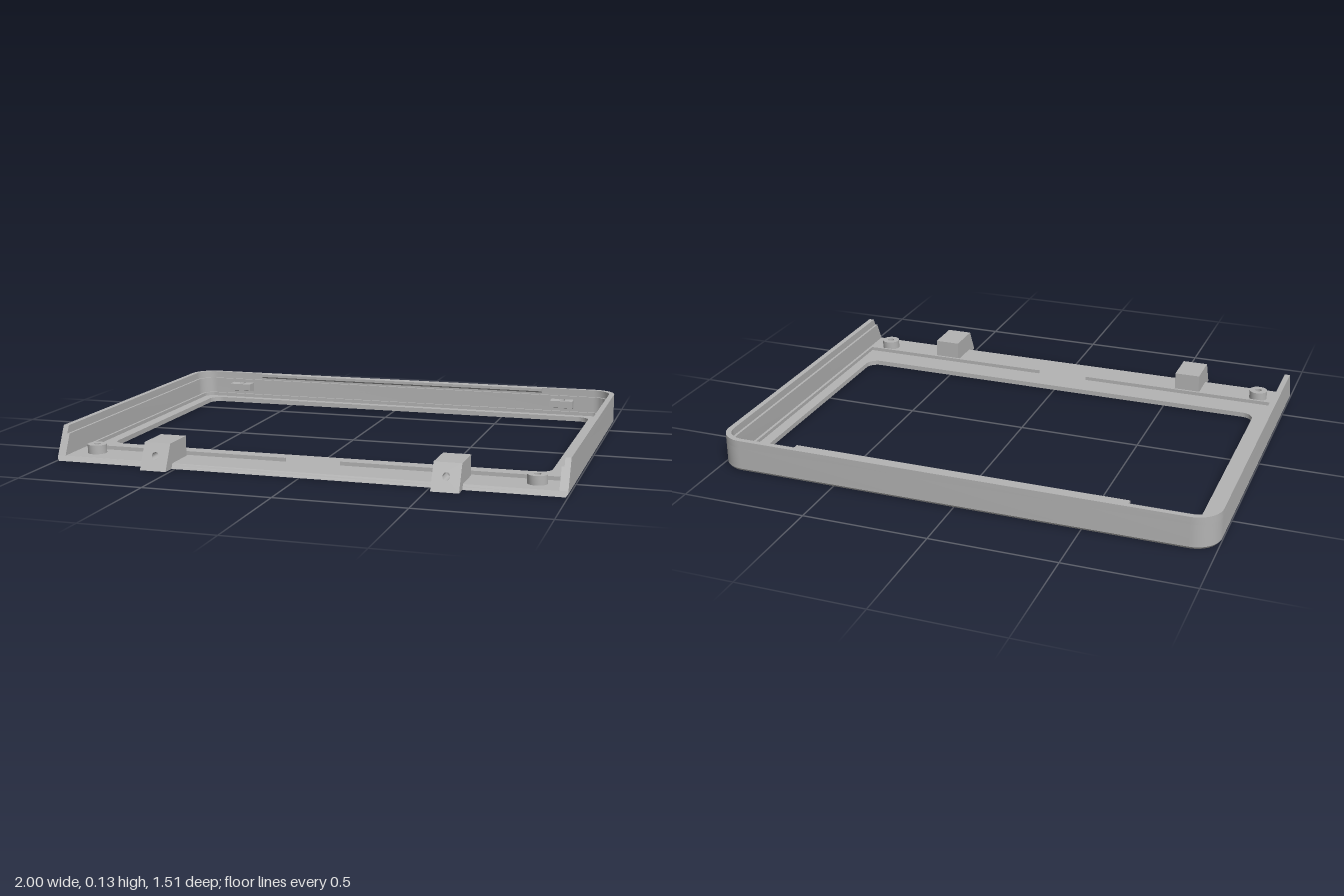
import * as THREE from 'three';
import { toCreasedNormals } from 'three/addons/utils/BufferGeometryUtils.js';

const BACK = -0.755, FRONT = 0.7, R = 0.1;
const BASE = 0.02, STEP = 0.1, TOP = 0.13;

// U-shaped outline (plan view, shape y = -z), open end at the front
function outline(inset, front) {
  const r = R - inset, cx = 1 - R, cy = -BACK - R, pts = [];
  pts.push(new THREE.Vector2(-1 + inset, -front));
  for (let i = 0; i <= 10; i++) {
    const a = Math.PI - (i / 10) * Math.PI / 2;
    pts.push(new THREE.Vector2(-cx + r * Math.cos(a), cy + r * Math.sin(a)));
  }
  for (let i = 0; i <= 10; i++) {
    const a = Math.PI / 2 - (i / 10) * Math.PI / 2;
    pts.push(new THREE.Vector2(cx + r * Math.cos(a), cy + r * Math.sin(a)));
  }
  pts.push(new THREE.Vector2(1 - inset, -front));
  return pts;
}

const band = (a, b, front) =>
  new THREE.Shape([...outline(a, front), ...outline(b, front).reverse()]);

function rect(x0, x1, y0, y1) {
  return new THREE.Shape([[x0, y0], [x1, y0], [x1, y1], [x0, y1]].map(p => new THREE.Vector2(...p)));
}

function circleHole(x, y, r) {
  return new THREE.Path().absarc(x, y, r, 0, Math.PI * 2, true);
}

// Move every vertex by a rule, then restore normals
function reshape(geo, rule) {
  const p = geo.attributes.position, v = new THREE.Vector3();
  for (let i = 0; i < p.count; i++) {
    rule(v.fromBufferAttribute(p, i));
    p.setXYZ(i, v.x, v.y, v.z);
  }
  geo.computeVertexNormals();
  return toCreasedNormals(geo, 0.45);
}

// Extrude a plan shape upward from y0 to y1
function rise(shape, y0, y1, rule = () => {}, steps = 1) {
  const g = new THREE.ExtrudeGeometry(shape, { depth: y1 - y0, bevelEnabled: false, steps, curveSegments: 10 });
  g.rotateX(-Math.PI / 2).translate(0, y0, 0);
  return reshape(g, rule);
}

// Slanted front ends
const slant = v => { if (v.z > 0.6) v.z -= 0.5 * v.y; };

export function createModel() {
  const model = new THREE.Group();
  model.name = 'bezelFrame';
  const grey = new THREE.MeshStandardMaterial({ color: 0xb4b4b4 });
  grey.name = 'plain grey';
  const add = (name, geo) => {
    const m = new THREE.Mesh(geo, grey);
    m.name = name;
    model.add(m);
    return m;
  };

  // Face plate with rounded window and chamfered lower edge
  const plate = new THREE.Shape(outline(0, FRONT));
  const win = new THREE.Path();
  const wx = 0.895, wb = 0.66, wf = -0.42, wr = 0.05;
  win.absarc(wx - wr, wb - wr, wr, 0, Math.PI / 2);
  win.absarc(-wx + wr, wb - wr, wr, Math.PI / 2, Math.PI);
  win.absarc(-wx + wr, wf + wr, wr, Math.PI, Math.PI * 1.5);
  win.absarc(wx - wr, wf + wr, wr, Math.PI * 1.5, Math.PI * 2);
  plate.holes.push(win);
  add('facePlate', rise(plate, 0, BASE, v => {
    slant(v);
    if (v.y < 0.001) {
      v.x -= Math.sign(v.x) * Math.max(0, Math.abs(v.x) - 0.9) * 0.08;
      v.z += Math.max(0, -0.66 - v.z) * 0.08;
    }
  }, 2));

  // Stepped side and back walls
  add('lowerWall', rise(band(0, 0.032, FRONT), BASE, STEP, slant));
  add('upperWall', rise(band(0, 0.022, FRONT), STEP, TOP, slant));

  // Low rib around the window
  add('windowRib', rise(band(0.05, 0.06, 0.54), BASE, 0.035));

  // Catch lip under the back rim, wedge section
  const lip = new THREE.BoxGeometry(1.34, 0.024, 0.03).toNonIndexed();
  lip.translate(0, 0.118, -0.724);
  add('backLip', reshape(lip, v => { if (v.y < 0.11 && v.z > -0.72) v.y += 0.012; }));

  for (const s of [-1, 1]) {
    const side = s < 0 ? 'right' : 'left';

    // Front half of the rib, with a gap in the middle
    const rib = new THREE.BoxGeometry(0.84, 0.015, 0.01);
    rib.translate(s * 0.53, BASE + 0.0075, 0.535);
    add(side + 'FrontRib', rib);

    // Screw boss
    const boss = new THREE.Shape().absarc(s * 0.875, -0.6, 0.038, 0, Math.PI * 2);
    boss.holes.push(circleHole(s * 0.875, -0.6, 0.014));
    add(side + 'ScrewBoss', rise(boss, BASE, 0.055));

    // Front lug: solid rear and slanted nose with a blind hole
    const x = s * 0.5675, w = 0.053;
    const rear = new THREE.BoxGeometry(w * 2, STEP, 0.105);
    rear.translate(x, STEP / 2, 0.6075);
    add(side + 'LugBody', rear);
    const face = rect(x - w, x + w, 0, STEP);
    face.holes.push(circleHole(x, 0.053, 0.014));
    const nose = new THREE.ExtrudeGeometry(face, { depth: 0.095, bevelEnabled: false });
    nose.translate(0, 0, 0.66);
    add(side + 'LugNose', reshape(nose, v => { if (v.z > 0.7) v.z -= 0.5 * v.y; }));

    // Back mounting tab with a sloping underside
    const tx = s * 0.765;
    const tab = rect(tx - 0.05, tx + 0.05, 0.67, 0.74);
    tab.holes.push(circleHole(tx, 0.705, 0.014));
    add(side + 'BackTab', rise(tab, 0.04, 0.085, v => {
      if (v.y < 0.05) v.y += 0.015 * (v.z + 0.74) / 0.07;
    }));
  }
  return model;
}
